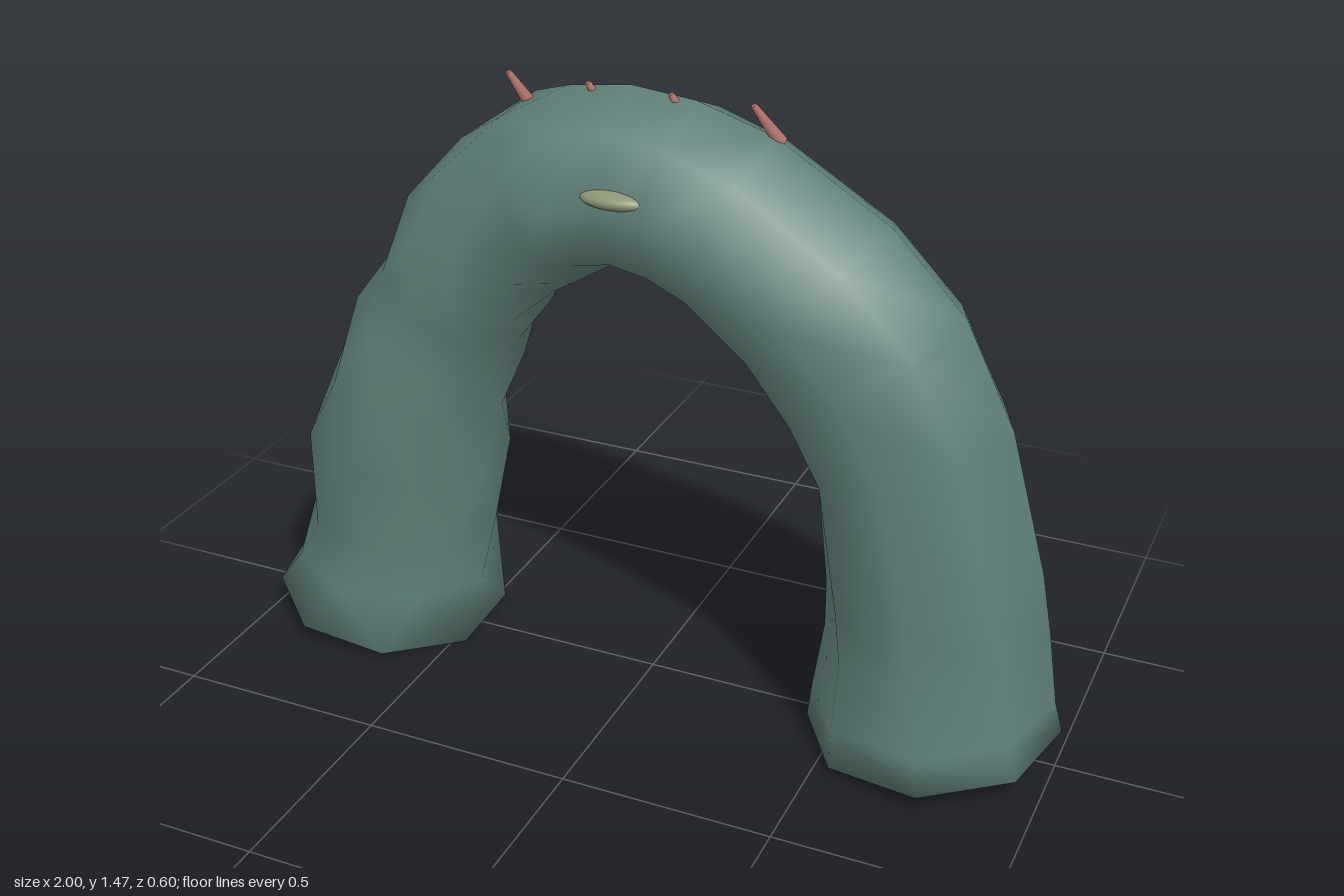
import * as THREE from 'three';

const SIDES = 8;

// Cross-sections along the arch: outer x, outer y, inner x, inner y, front z, back z, twist in degrees
const SECTIONS = [
  [-1.00, 0.07, -0.47, 0.00, 0.265, -0.30, -200],
  [-0.95, 0.19, -0.455, 0.15, 0.25, -0.265, -186],
  [-0.91, 0.31, -0.445, 0.30, 0.235, -0.245, -170],
  [-0.885, 0.52, -0.42, 0.47, 0.245, -0.245, -150],
  [-0.80, 0.74, -0.41, 0.62, 0.26, -0.225, -128],
  [-0.72, 0.90, -0.375, 0.73, 0.225, -0.225, -110],
  [-0.65, 1.02, -0.33, 0.83, 0.225, -0.25, -94],
  [-0.58, 1.16, -0.28, 0.91, 0.24, -0.215, -74],
  [-0.49, 1.28, -0.23, 0.97, 0.21, -0.22, -53],
  [-0.32, 1.40, -0.16, 1.02, 0.22, -0.21, -20],
  [-0.20, 1.45, -0.10, 1.045, 0.24, -0.185, 0],
  [-0.05, 1.47, -0.03, 1.055, 0.225, -0.21, 0],
  [0.10, 1.455, 0.05, 1.045, 0.24, -0.215, 0],
  [0.28, 1.40, 0.13, 1.01, 0.25, -0.20, 0],
  [0.55, 1.235, 0.25, 0.91, 0.26, -0.215, 0],
  [0.72, 1.06, 0.34, 0.78, 0.25, -0.23, 0],
  [0.84, 0.82, 0.40, 0.66, 0.235, -0.235, 0],
  [0.93, 0.48, 0.44, 0.36, 0.245, -0.255, -3],
  [0.955, 0.32, 0.445, 0.25, 0.25, -0.285, -6],
  [0.98, 0.14, 0.425, 0.09, 0.27, -0.28, -8],
  [0.998, 0.06, 0.42, 0.01, 0.295, -0.30, -10],
];

// Twisted octagonal rings swept through the sections, closed at both feet
function bodyGeometry() {
  const pos = [], index = [], n = SECTIONS.length;
  for (const [ox, oy, ix, iy, zf, zb, twist] of SECTIONS) {
    const cx = (ox + ix) / 2, cy = (oy + iy) / 2;
    // a turned octagon is enlarged so it keeps its stated width
    const off = twist - 45 * Math.round(twist / 45);
    const grow = 1 / Math.cos(THREE.MathUtils.degToRad(off));
    for (let j = 0; j < SIDES; j++) {
      const a = (j / SIDES) * Math.PI * 2 + THREE.MathUtils.degToRad(twist);
      const c = Math.cos(a) * grow, s = Math.sin(a) * grow;
      pos.push(cx + (ox - cx) * c, cy + (oy - cy) * c, s > 0 ? zf * s : -zb * s);
    }
  }
  for (let i = 0; i < n - 1; i++) {
    for (let j = 0; j < SIDES; j++) {
      const k = (j + 1) % SIDES;
      const a = i * SIDES + j, b = i * SIDES + k, c = a + SIDES, d = b + SIDES;
      index.push(a, b, c, b, d, c);
    }
  }
  // Foot caps
  const last = (n - 1) * SIDES;
  for (let j = 1; j < SIDES - 1; j++) {
    index.push(0, j + 1, j);
    index.push(last, last + j, last + j + 1);
  }
  const g = new THREE.BufferGeometry();
  g.setAttribute('position', new THREE.Float32BufferAttribute(pos, 3));
  g.setIndex(index);
  g.computeVertexNormals();
  return g;
}

export function createModel() {
  const group = new THREE.Group();
  const skin = new THREE.MeshStandardMaterial({ color: 0x5f7f78 });
  const olive = new THREE.MeshStandardMaterial({ color: 0x8c9676 });
  const pink = new THREE.MeshStandardMaterial({ color: 0xb0736b });

  const add = (name, geometry, material) => {
    const mesh = new THREE.Mesh(geometry, material);
    mesh.name = name;
    group.add(mesh);
    return mesh;
  };

  add('archBody', bodyGeometry(), skin);

  // Flattened oval spots: one in front, two behind
  const spot = (name, x, y, z, rx, ry, rz) => {
    const m = add(name, new THREE.SphereGeometry(1, 16, 10), olive);
    m.position.set(x, y, z);
    m.scale.set(rx, ry, rz);
  };
  spot('frontSpot', 0, 1.285, 0.195, 0.085, 0.022, 0.045);
  spot('backSpotLarge', -0.045, 1.2, -0.2, 0.11, 0.024, 0.05);
  spot('backSpotSmall', 0.2, 1.21, -0.175, 0.09, 0.022, 0.045);

  // Thin tapered spines leaning forward and sideways
  const spine = (name, base, tip) => {
    const a = new THREE.Vector3(...base), b = new THREE.Vector3(...tip);
    const dir = b.clone().sub(a);
    const m = add(name, new THREE.CylinderGeometry(0.007, 0.016, dir.length(), 8), pink);
    m.position.copy(a).add(b).multiplyScalar(0.5);
    m.quaternion.setFromUnitVectors(new THREE.Vector3(0, 1, 0), dir.normalize());
  };
  spine('spineRight', [-0.295, 1.385, -0.01], [-0.335, 1.47, 0.025]);
  spine('spineLeft', [0.29, 1.385, -0.01], [0.24, 1.47, 0.025]);
  spine('spineTipRight', [-0.105, 1.385, -0.01], [-0.145, 1.468, 0.02]);
  spine('spineTipLeft', [0.09, 1.385, -0.01], [0.05, 1.468, 0.02]);

  return group;
}
